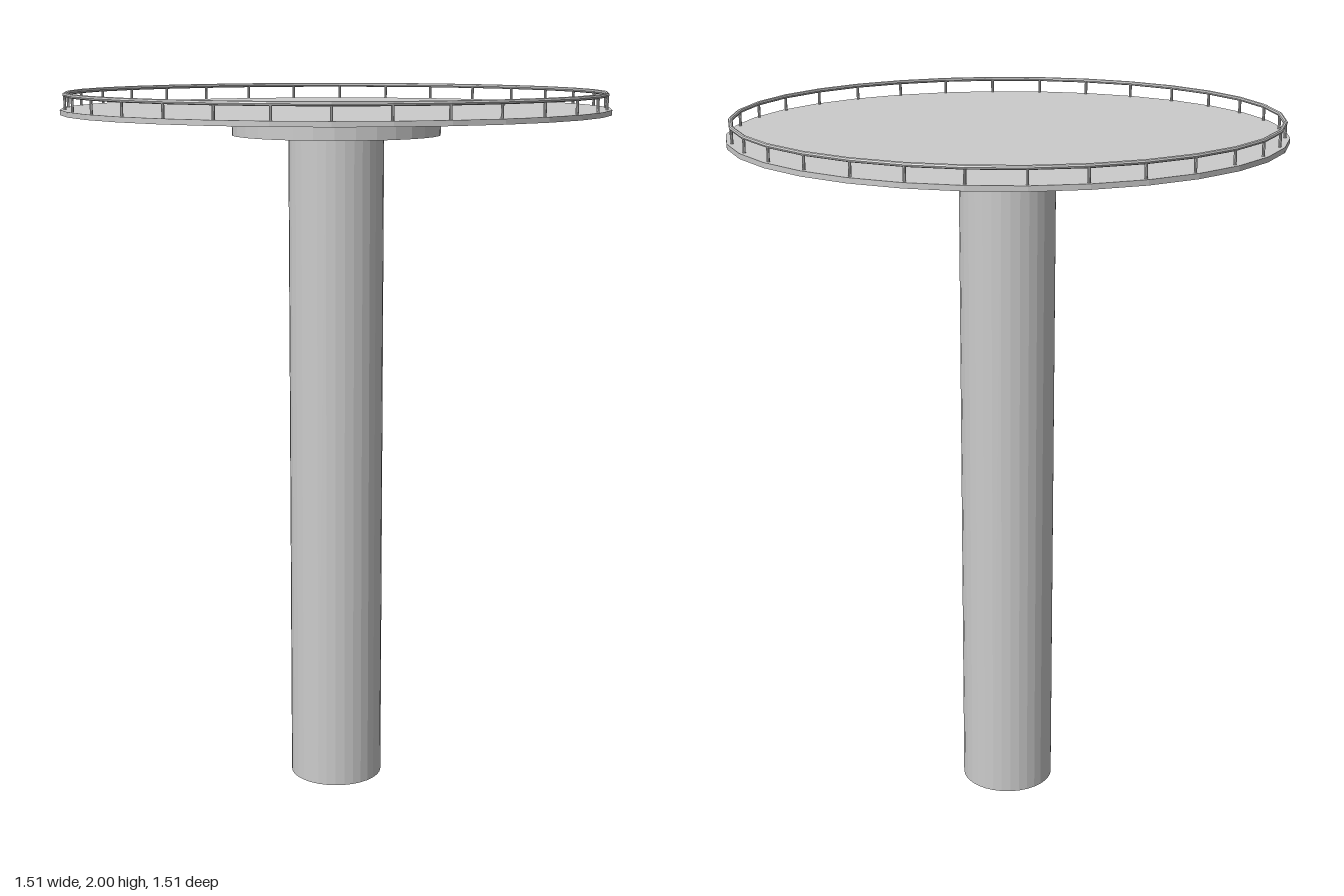
import * as THREE from 'three';

const SIDES = 32;

export function createModel() {
  const model = new THREE.Group();
  const material = new THREE.MeshStandardMaterial({ color: 0xcccccc, flatShading: true });

  // Upright drum between two heights
  function drum(name, radius, bottom, top, sides = SIDES) {
    const geometry = new THREE.CylinderGeometry(radius, radius, top - bottom, sides);
    const mesh = new THREE.Mesh(geometry, material);
    mesh.name = name;
    mesh.position.y = (bottom + top) / 2;
    return mesh;
  }

  // Column, collar and round deck
  model.add(drum('column', 0.133, 0, 1.88));
  model.add(drum('collar', 0.29, 1.88, 1.942));
  model.add(drum('deck', 0.757, 1.94, 1.954));

  // Railing: one post per deck corner, under a round handrail
  const railing = new THREE.Group();
  railing.name = 'railing';
  const railRadius = 0.743, tube = 0.006;
  for (let i = 0; i < SIDES; i++) {
    const angle = (i / SIDES) * Math.PI * 2;
    const post = drum('railPost', 0.004, 1.953, 1.994, 8);
    post.position.x = railRadius * Math.sin(angle);
    post.position.z = railRadius * Math.cos(angle);
    railing.add(post);
  }
  const handrail = new THREE.Mesh(new THREE.TorusGeometry(railRadius, tube, 8, SIDES), material);
  handrail.name = 'handrail';
  handrail.rotation.x = Math.PI / 2;
  handrail.position.y = 2 - tube;
  railing.add(handrail);
  model.add(railing);

  return model;
}
